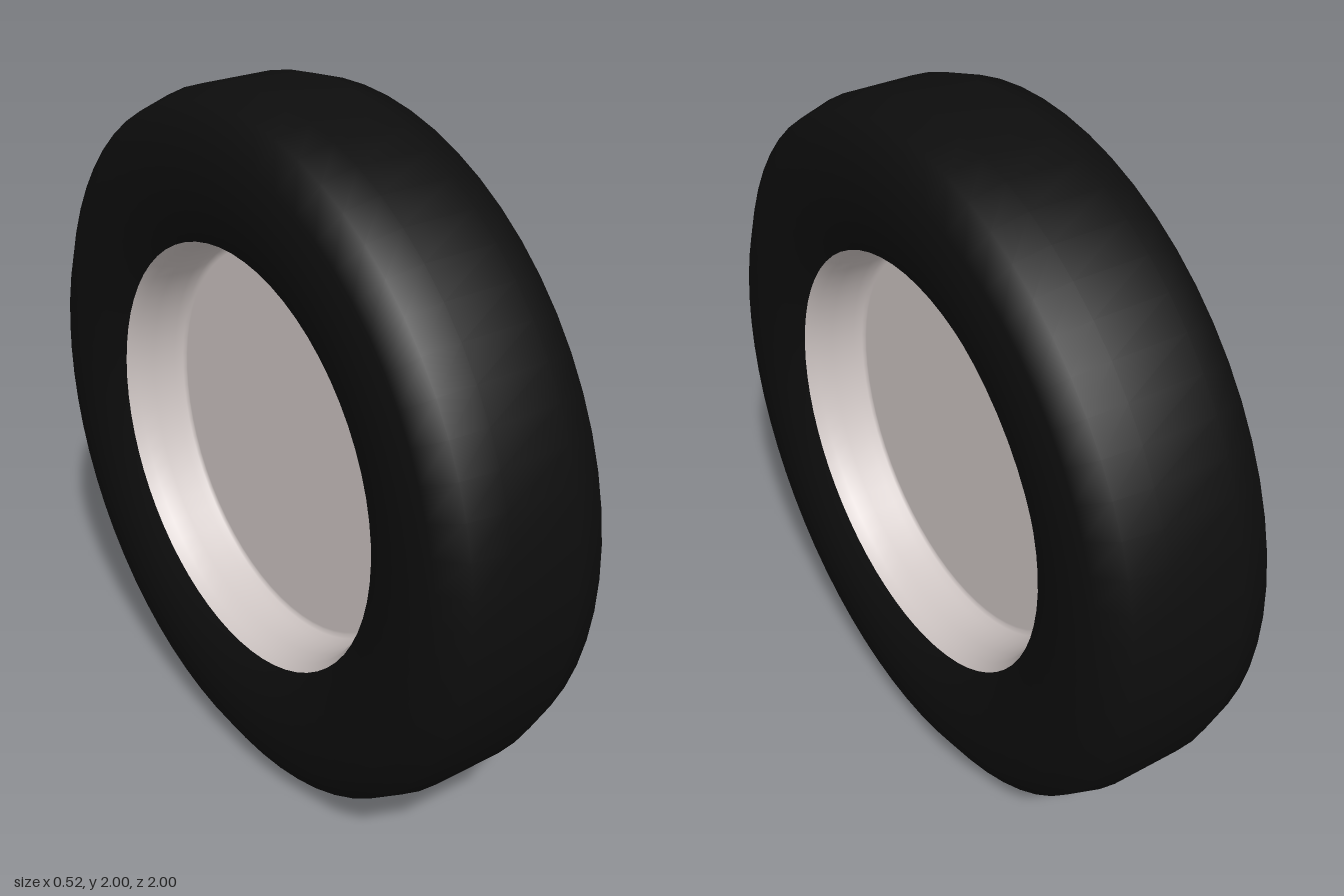
import * as THREE from 'three';

const SEGMENTS = 64;

// Revolves [radius, axial offset] points about the x axis
function revolve(name, profile, material) {
  const points = profile.map(([r, a]) => new THREE.Vector2(r, a));
  const geometry = new THREE.LatheGeometry(points, SEGMENTS);
  geometry.rotateZ(-Math.PI / 2);
  const mesh = new THREE.Mesh(geometry, material);
  mesh.name = name;
  return mesh;
}

export function createModel() {
  const rubber = new THREE.MeshStandardMaterial({ color: 0x0d0d0d });
  const metal = new THREE.MeshStandardMaterial({ color: 0xcfc6c4 });

  const wheel = new THREE.Group();
  wheel.name = 'wheel';

  // Tyre: half profile from bead to tread, mirrored to the other sidewall
  const half = [[0.607, 0.21], [0.68, 0.25], [0.785, 0.26], [0.89, 0.25], [0.972, 0.2], [1, 0.105]];
  const tyreProfile = [...half.map(([r, a]) => [r, -a]), ...half.slice().reverse()];
  wheel.add(revolve('tyre', tyreProfile, rubber));

  // Rim: a recessed dish on each side, with a flat disc at the bottom
  const dish = [[0.607, 0.21], [0.59, 0.18], [0.583, 0.13], [0.58, 0.06],
    [0.572, 0.036], [0.562, 0.03], [0.555, 0.03], [0, 0.03]];
  for (const side of ['left', 'right']) {
    const rim = revolve(side + 'Rim', dish, metal);
    if (side === 'right') rim.rotation.y = Math.PI;
    wheel.add(rim);
  }

  wheel.position.y = 1;
  const model = new THREE.Group();
  model.name = 'model';
  model.add(wheel);
  return model;
}
